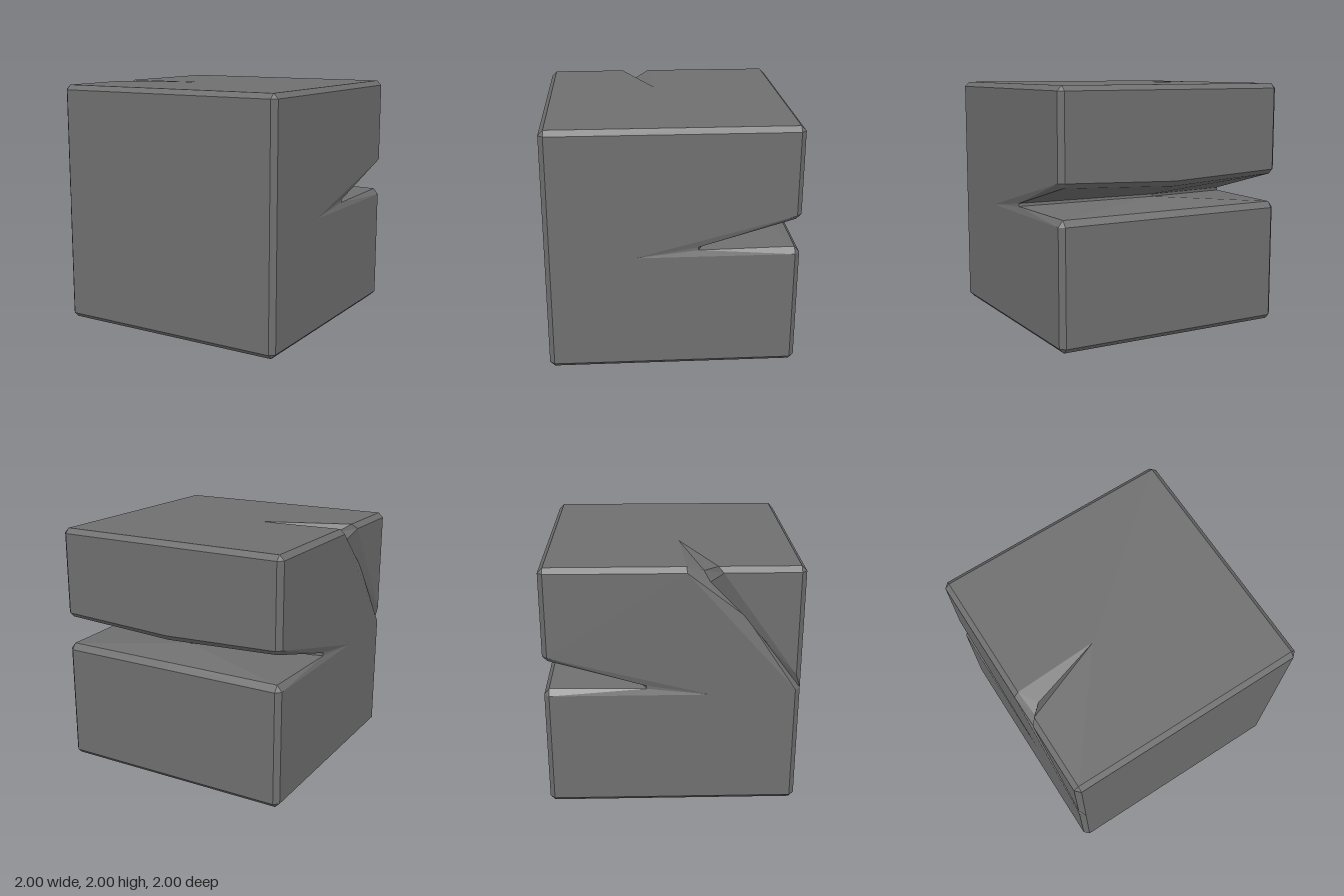
import * as THREE from 'three';

const A = 0.96; // inset of the bevelled edges
const LOW = 0.04, HIGH = 1.96;

// Collects triangles for one mesh; faces are turned towards a given outward direction.
function makeBuilder() {
  const pos = [];
  const v = (p) => new THREE.Vector3(...p);
  function tri(a, b, c, out) {
    const n = v(b).sub(v(a)).cross(v(c).sub(v(a)));
    if (n.length() < 1e-9) return;
    if (out && n.dot(v(out)) < 0) pos.push(...a, ...c, ...b);
    else pos.push(...a, ...b, ...c);
  }
  function face(pts, out) {
    if (pts.length < 5) {
      for (let i = 1; i < pts.length - 1; i++) tri(pts[0], pts[i], pts[i + 1], out);
      return;
    }
    // larger flat faces may be concave
    const [i, j] = out[0] ? [2, 1] : out[1] ? [0, 2] : [0, 1];
    const flat = pts.map((p) => new THREE.Vector2(p[i], p[j]));
    for (const t of THREE.ShapeUtils.triangulateShape(flat, [])) tri(pts[t[0]], pts[t[1]], pts[t[2]], out);
  }
  function mesh(name) {
    const g = new THREE.BufferGeometry();
    g.setAttribute('position', new THREE.Float32BufferAttribute(pos, 3));
    g.computeVertexNormals();
    const m = new THREE.Mesh(g, new THREE.MeshStandardMaterial({ color: 0x6f6f6f, flatShading: true }));
    m.name = name;
    return m;
  }
  return { face, mesh };
}

// Corner crack: rim behind it, rim in front of it and the valley between
const topTip = [-0.27, 2, 0.07], frontTip = [-A, 1, 1];
const rearRim = [topTip, [-A, 2, 0.105], [-1, HIGH, 0.11], [-1, 1, A], frontTip];
const frontRim = [topTip, [-A, 2, 0.34], [-1, HIGH, 0.38], [-1, 1.13, A], frontTip];
const valley = [topTip, [-0.87, 1.94, 0.24], [-0.935, 1.87, 0.285], [-0.965, 1.6, 0.56], frontTip];

// Heights of the back crack's mouth and the depth its ends reach
const MOUTH_TOP = 1.29, MOUTH_MID = 1.25, MOUTH_LOW = 0.965, TIP_Z = 0.3;

function buildFaces() {
  const { face, mesh } = makeBuilder();
  // front and bottom
  face([[-A, LOW, 1], [A, LOW, 1], [A, HIGH, 1], [-A, HIGH, 1]], [0, 0, 1]);
  face([[-A, 0, -A], [A, 0, -A], [A, 0, A], [-A, 0, A]], [0, -1, 0]);
  // top, opened by the corner crack
  face([[A, 2, -A], [A, 2, A], [-A, 2, A], frontRim[1], topTip, rearRim[1], [-A, 2, -A]], [0, 1, 0]);
  // back, above and below the crack
  face([[-A, LOW, -1], [A, LOW, -1], [A, MOUTH_LOW, -1], [-A, MOUTH_LOW, -1]], [0, 0, -1]);
  face([[-A, HIGH, -1], [A, HIGH, -1], [A, MOUTH_TOP, -1], [0, MOUTH_MID, -1], [-A, MOUTH_TOP, -1]], [0, 0, -1]);
  // sides with the ends of the back crack
  for (const s of [1, -1]) {
    const front = s > 0 ? [[s, HIGH, A]] : [rearRim[3], rearRim[2]];
    face([[s, LOW, A], ...front, [s, HIGH, -A], [s, MOUTH_TOP, -A],
      [s, MOUTH_LOW, TIP_Z], [s, MOUTH_LOW, -A], [s, LOW, -A]], [s, 0, 0]);
  }
  // piece of the side cut off by the corner crack
  face([frontRim[3], [-1, HIGH, A], frontRim[2]], [-1, 0, 0]);
  return mesh('blockFaces');
}

function buildBevels() {
  const { face, mesh } = makeBuilder();
  for (const [Y, y, up] of [[0, LOW, -1], [2, HIGH, 1]]) {
    for (const s of [1, -1]) {
      // edges along x
      face([[-A, Y, s * A], [A, Y, s * A], [A, y, s], [-A, y, s]], [0, up, s]);
      // edges along z; the top one is broken by the corner crack
      if (up > 0 && s < 0) {
        face([[-A, Y, -A], [-1, y, -A], rearRim[2], rearRim[1]], [s, up, 0]);
        face([[-A, Y, A], [-1, y, A], frontRim[2], frontRim[1]], [s, up, 0]);
      } else {
        face([[s * A, Y, -A], [s * A, Y, A], [s, y, A], [s, y, -A]], [s, up, 0]);
      }
      // corners
      for (const k of [1, -1]) face([[s * A, Y, k * A], [s, y, k * A], [s * A, y, k]], [s, up, k]);
    }
  }
  // upright edges, in pieces where a crack crosses them
  const upright = (s, k, y0, y1, y2 = y1) =>
    face([[s, y0, k * A], [s * A, y0, k], [s * A, y2, k], [s, y1, k * A]], [s, 0, k]);
  upright(1, 1, LOW, HIGH);
  upright(-1, 1, LOW, 1);
  upright(-1, 1, HIGH, 1.13, 1);
  for (const s of [1, -1]) {
    upright(s, -1, LOW, MOUTH_LOW);
    upright(s, -1, MOUTH_TOP, HIGH);
  }
  return mesh('bevelledEdges');
}

// Wide wedge across the back, deeper at both ends than in the middle
function buildBackCrack() {
  const { face, mesh } = makeBuilder();
  const midTop = [0, 1.105, -0.65], midLow = [0, 1.085, -0.65];
  const lipTop = [0, 1.205, -A], lipLow = [0, 1.015, -A];
  for (const s of [1, -1]) {
    const tip = [s, MOUTH_LOW, TIP_Z];
    const inTop = [s * 0.985, 1.04, -0.2], inLow = [s * 0.985, 1.015, -0.2];
    const endTop = [s * A, 1.25, -A], endLow = [s * A, 1.015, -A];
    const sideTop = [s, MOUTH_TOP, -A], sideLow = [s, MOUTH_LOW, -A];
    const backTop = [s * A, MOUTH_TOP, -1], backLow = [s * A, MOUTH_LOW, -1];
    // ceiling and its bevel, which flattens out towards the tip
    face([midTop, inTop, endTop, lipTop], [0, -1, 0]);
    face([inTop, tip, sideTop, endTop], [s, -1, 0]);
    face([sideTop, backTop, endTop], [s, -1, -1]);
    face([backTop, [0, MOUTH_MID, -1], lipTop, endTop], [0, -1, -1]);
    // floor and its bevel
    face([midLow, inLow, endLow, lipLow], [0, 1, 0]);
    face([inLow, tip, sideLow, endLow], [s, 1, 0]);
    face([sideLow, endLow, backLow], [s, 1, -1]);
    face([backLow, endLow, lipLow, [0, MOUTH_LOW, -1]], [0, 1, -1]);
    // narrow inner wall
    face([inTop, midTop, midLow, inLow], [s, 0, -1]);
    face([tip, inTop, inLow], [s, 0, 0]);
  }
  return mesh('backCrack');
}

// Shallow crack from the top down one side to the front edge
function buildCornerCrack() {
  const { face, mesh } = makeBuilder();
  for (let i = 0; i < valley.length - 1; i++) {
    face([rearRim[i], rearRim[i + 1], valley[i + 1], valley[i]]);
    face([valley[i], valley[i + 1], frontRim[i + 1], frontRim[i]]);
  }
  return mesh('cornerCrack');
}

export function createModel() {
  const group = new THREE.Group();
  group.name = 'crackedBlock';
  group.add(buildFaces(), buildBevels(), buildBackCrack(), buildCornerCrack());
  return group;
}
